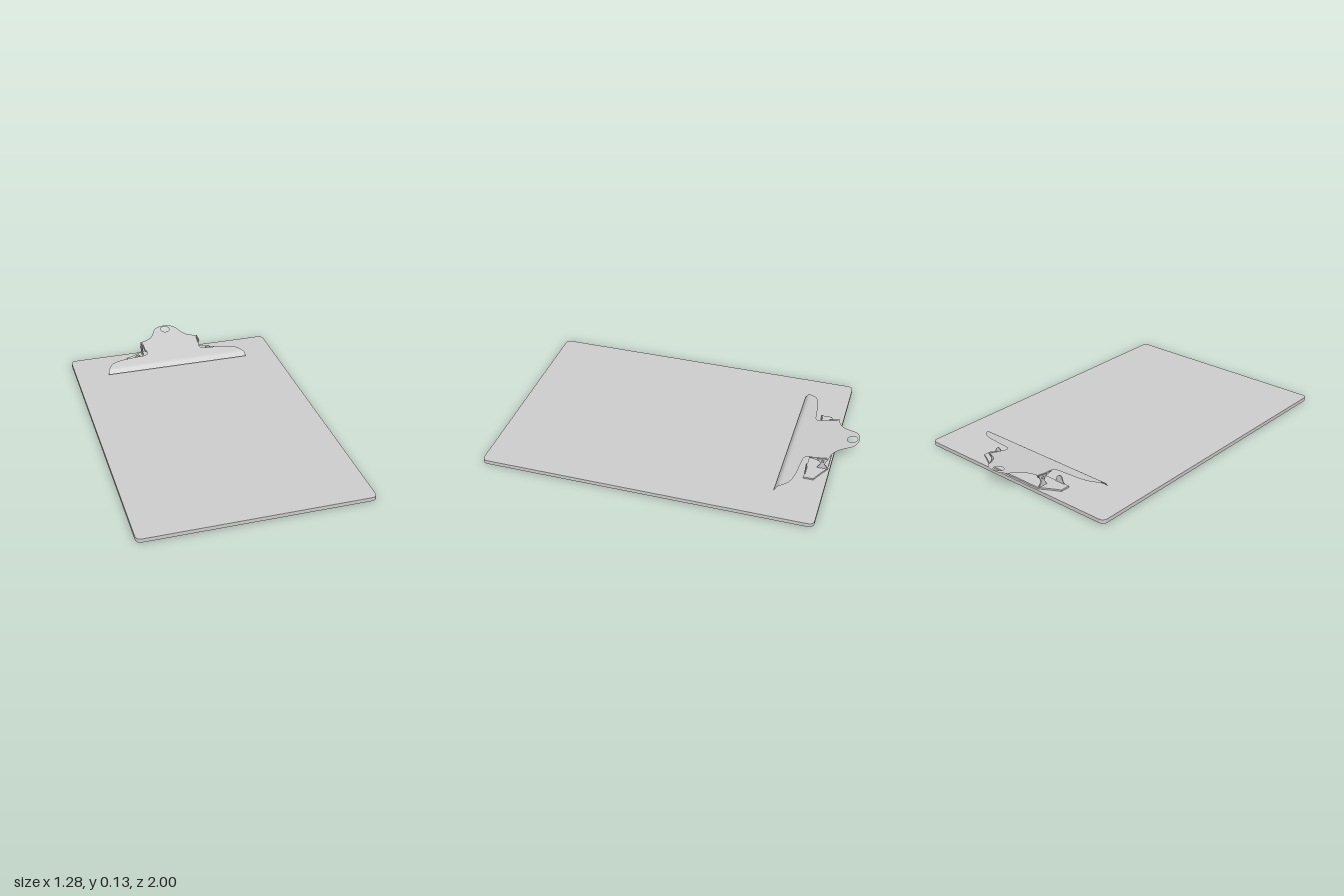
import * as THREE from 'three';

const material = new THREE.MeshStandardMaterial({ color: 0xcccccc, side: THREE.DoubleSide });

function add(parent, name, geometry) {
  const mesh = new THREE.Mesh(geometry, material);
  mesh.name = name;
  parent.add(mesh);
  return mesh;
}

// Flat shape drawn as (x, distance to the back), laid down with its thickness upwards
function slab(shape, thickness, y) {
  return new THREE.ExtrudeGeometry(shape, { depth: thickness, bevelEnabled: false, curveSegments: 8 })
    .rotateX(-Math.PI / 2).translate(0, y, 0);
}

// Upright plate drawn as (distance to the back, y), with its thickness along x
function sidePlate(shape, thickness, x) {
  return new THREE.ExtrudeGeometry(shape, { depth: thickness, bevelEnabled: false })
    .rotateY(Math.PI / 2).translate(x - thickness / 2, 0, 0);
}

const polygon = (points) => new THREE.Shape(points.map(([x, y]) => new THREE.Vector2(x, y)));

function boardShape() {
  const w = 0.64, front = -1, back = 0.87, r = 0.03;
  const s = new THREE.Shape();
  s.absarc(w - r, front + r, r, -Math.PI / 2, 0);
  s.absarc(w - r, back - r, r, 0, Math.PI / 2);
  s.absarc(-w + r, back - r, r, Math.PI / 2, Math.PI);
  s.absarc(-w + r, front + r, r, Math.PI, Math.PI * 1.5);
  return s;
}

// Lever plate outline: wide wings, narrow waist, rounded hanging tab
function leverShape() {
  const half = new THREE.Path();
  half.moveTo(0.43, 0.65);
  half.bezierCurveTo(0.41, 0.69, 0.38, 0.7, 0.32, 0.71);
  half.lineTo(0.21, 0.72);
  half.quadraticCurveTo(0.17, 0.72, 0.17, 0.75);
  half.lineTo(0.18, 0.86);
  half.bezierCurveTo(0.12, 0.87, 0.1, 0.9, 0.08, 0.95);
  half.quadraticCurveTo(0.06, 1, 0, 1);
  const right = half.getPoints(8);
  const left = right.slice(0, -1).reverse().map((p) => new THREE.Vector2(-p.x, p.y));
  const s = new THREE.Shape([...right, ...left]);
  const hole = new THREE.Path();
  hole.absarc(0, 0.96, 0.028, 0, Math.PI * 2, true);
  s.holes.push(hole);
  return s;
}

const leverHeight = (z) => 0.064 + (-0.65 - z) * 0.175;

function leverGeometry() {
  const g = new THREE.ShapeGeometry(leverShape(), 24).rotateX(-Math.PI / 2);
  const p = g.attributes.position;
  for (let i = 0; i < p.count; i++) p.setY(i, leverHeight(p.getZ(i)));
  g.computeVertexNormals();
  return g;
}

// Jaw lip: rows of (half width, y, z) bending down to the paper
function lipGeometry() {
  const rows = [[0.43, 0.064, -0.65], [0.437, 0.061, -0.638], [0.442, 0.055, -0.63], [0.445, 0.034, -0.615]];
  const g = new THREE.PlaneGeometry(2, 1, 8, rows.length - 1);
  const p = g.attributes.position;
  for (let i = 0; i < p.count; i++) {
    const [w, y, z] = rows[Math.floor(i / 9)];
    p.setXYZ(i, p.getX(i) * w, y, z);
  }
  g.computeVertexNormals();
  return g;
}

export function createModel() {
  const model = new THREE.Group();
  model.name = 'clipboard';
  add(model, 'board', slab(boardShape(), 0.022, 0));

  // Spring clip
  const clip = new THREE.Group();
  clip.name = 'clip';
  model.add(clip);
  add(clip, 'leverPlate', leverGeometry());
  add(clip, 'jawLip', lipGeometry());

  // Base plate fixed to the board
  const corners = [[0.29, 0.745], [0.29, 0.8], [0.25, 0.82], [0.18, 0.86]];
  const mirrored = corners.map(([x, b]) => [-x, b]).reverse();
  add(clip, 'basePlate', slab(polygon([...corners, ...mirrored]), 0.009, 0.022));

  for (const [side, sign] of [['left', 1], ['right', -1]]) {
    // Waisted upright holding the lever
    const post = polygon([[0.8, 0.03], [0.86, 0.03], [0.84, 0.06], [0.86, 0.1], [0.8, 0.09], [0.82, 0.06]]);
    add(clip, side + 'HingePost', sidePlate(post, 0.006, sign * 0.185));

    // Lever edge folded down beside the post
    const flange = polygon([[0.8, 0.07], [0.85, 0.08], [0.86, 0.1], [0.75, 0.08]]);
    add(clip, side + 'LeverFlange', sidePlate(flange, 0.004, sign * 0.174));

    const pin = add(clip, side + 'HingePin', new THREE.CylinderGeometry(0.008, 0.008, 0.03, 12).rotateZ(Math.PI / 2));
    pin.position.set(sign * 0.18, 0.08, -0.83);

    // Rounded stop at the front of the base plate
    const stop = new THREE.Shape();
    stop.moveTo(0.2, 0.03);
    stop.lineTo(0.26, 0.03);
    stop.lineTo(0.25, 0.06);
    stop.absarc(0.23, 0.055, 0.018, 0, Math.PI);
    stop.lineTo(0.2, 0.03);
    const tab = add(clip, side + 'PaperStop',
      new THREE.ExtrudeGeometry(stop, { depth: 0.005, bevelEnabled: false, curveSegments: 8 }));
    tab.position.set(sign > 0 ? 0 : -0.46, 0, -0.75);
  }
  return model;
}
